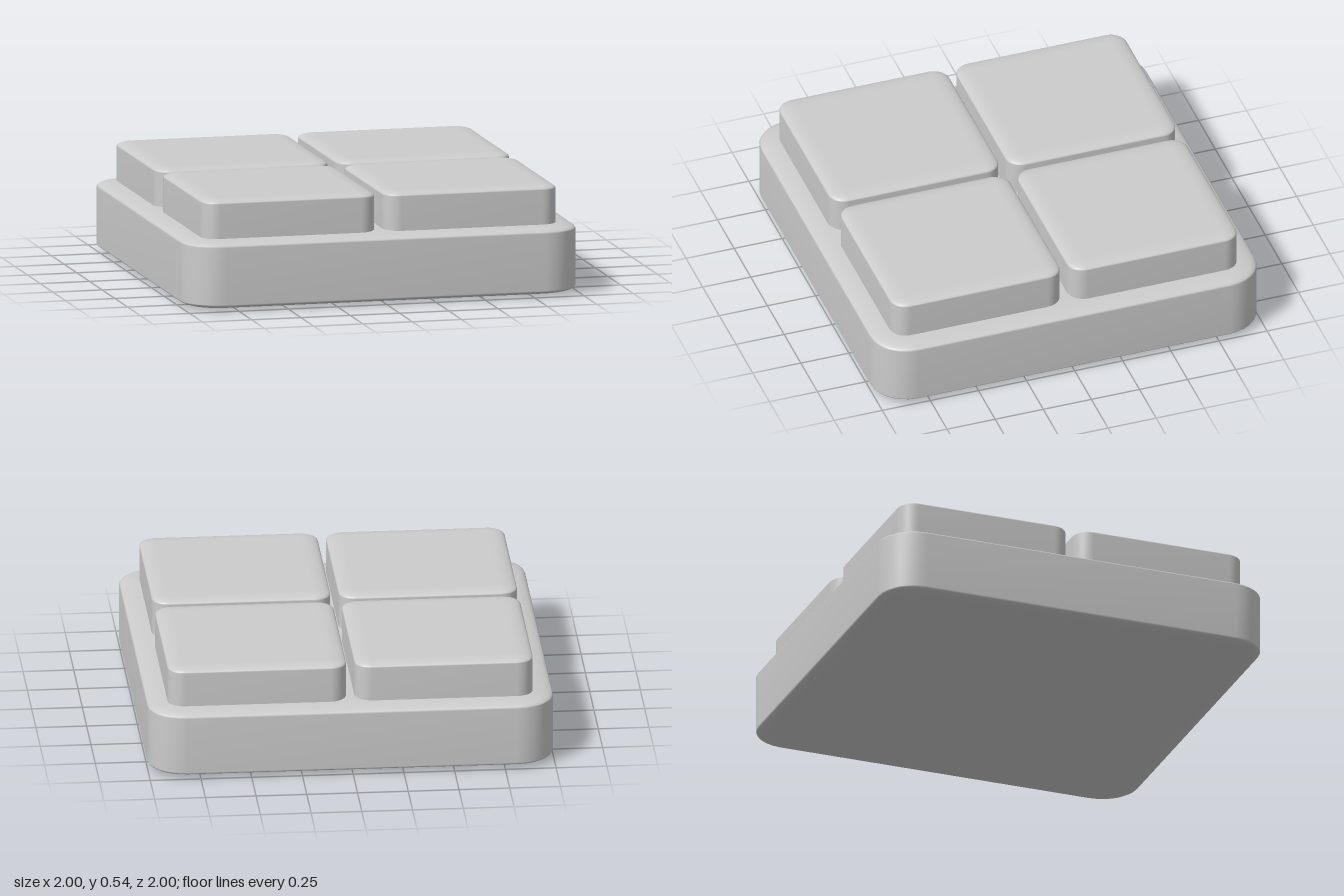
import * as THREE from 'three';
import { RoundedBoxGeometry } from 'three/addons/geometries/RoundedBoxGeometry.js';
import { mergeVertices } from 'three/addons/utils/BufferGeometryUtils.js';

// Rounded unit cube stretched to size, so its edge rounding stretches with it
function softSlab(width, height, depth) {
  let geometry = new RoundedBoxGeometry(1, 1, 1, 4, 0.095);
  geometry.deleteAttribute('normal');
  geometry.deleteAttribute('uv');
  geometry.scale(width, height, depth);
  geometry = mergeVertices(geometry, 1e-5);
  geometry.computeVertexNormals();
  return geometry;
}

export function createModel() {
  const model = new THREE.Group();
  model.name = 'fourButtonPad';
  const material = new THREE.MeshStandardMaterial({ color: 0xcccccc });

  // Wide base slab
  const baseHeight = 0.35;
  const base = new THREE.Mesh(softSlab(2, baseHeight, 2), material);
  base.name = 'base';
  base.position.y = baseHeight / 2;
  model.add(base);

  // Four square buttons sunk slightly into the base
  const top = 0.54, bottom = 0.3, inner = 0.02, outer = 0.9;
  const buttonGeometry = softSlab(outer - inner, top - bottom, outer - inner);
  const offset = (inner + outer) / 2;
  for (const [sideX, x] of [['Left', 1], ['Right', -1]]) {
    for (const [sideZ, z] of [['front', 1], ['back', -1]]) {
      const button = new THREE.Mesh(buttonGeometry, material);
      button.name = `${sideZ}${sideX}Button`;
      button.position.set(x * offset, (top + bottom) / 2, z * offset);
      model.add(button);
    }
  }
  return model;
}
